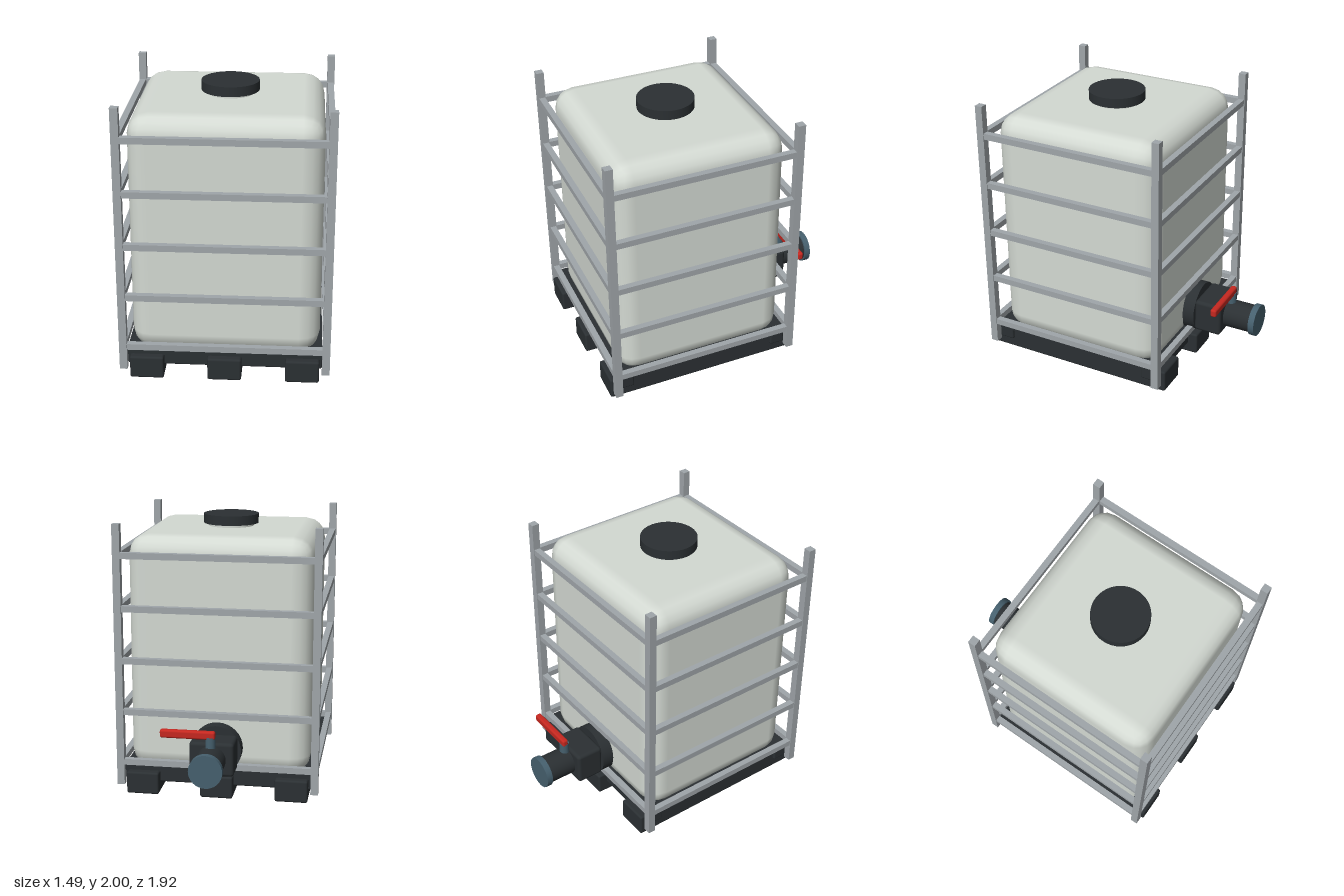
import * as THREE from 'three';
import { RoundedBoxGeometry } from 'three/addons/geometries/RoundedBoxGeometry.js';

const mat = (color) => new THREE.MeshStandardMaterial({ color });

export function createModel() {
  const model = new THREE.Group();
  model.name = 'containerTank';
  const plastic = mat(0xd4dad3), dark = mat(0x2b3033), steel = mat(0xa0a6aa);
  const blue = mat(0x46606e), red = mat(0xc62820);

  const add = (name, geometry, material, x, y, z, parent = model) => {
    const mesh = new THREE.Mesh(geometry, material);
    mesh.name = name;
    mesh.position.set(x, y, z);
    parent.add(mesh);
    return mesh;
  };
  const group = (name) => {
    const g = new THREE.Group();
    g.name = name;
    model.add(g);
    return g;
  };
  const midZ = 0.23; // centre of tank, cage and pallet

  // Tank with neck and lid
  add('tank', new RoundedBoxGeometry(1.34, 1.76, 1.285, 2, 0.15), plastic, 0, 1.03, midZ - 0.003);
  add('neck', new THREE.CylinderGeometry(0.17, 0.17, 0.06, 32), plastic, 0, 1.92, 0.225);
  add('lid', new THREE.CylinderGeometry(0.205, 0.205, 0.07, 40), dark, 0, 1.965, 0.225);

  // Pallet: deck, end beams and three runners
  const pallet = group('pallet');
  add('deck', new THREE.BoxGeometry(1.38, 0.05, 1.36), dark, 0, 0.185, midZ, pallet);
  for (const s of [-1, 1]) {
    add('endBeam', new RoundedBoxGeometry(1.38, 0.11, 0.11, 2, 0.012), dark, 0, 0.133, midZ + s * 0.61, pallet);
  }
  for (const x of [-0.55, 0, 0.55]) {
    add('runner', new RoundedBoxGeometry(0.24, 0.167, 1.47, 2, 0.015), dark, x, 0.0835, midZ - 0.003, pallet);
  }

  // Cage: four corner posts and five rings of rails
  const cage = group('cage');
  const postX = 0.717, postZ = 0.69;
  for (const sx of [-1, 1]) for (const sz of [-1, 1]) {
    add('post', new THREE.BoxGeometry(0.055, 1.94, 0.055), steel, sx * postX, 1.03, midZ + sz * postZ, cage);
  }
  for (let i = 0; i < 5; i++) {
    const y = 0.235 + i * 0.385;
    for (const s of [-1, 1]) {
      add('crossRail', new THREE.BoxGeometry(1.38, 0.045, 0.045), steel, 0, y, midZ + s * postZ, cage);
      add('sideRail', new THREE.BoxGeometry(0.045, 0.045, 1.325), steel, s * postX, y, midZ, cage);
    }
  }

  // Outlet valve at the back
  const valve = group('valve');
  const axisY = 0.37;
  const disc = (name, r, z0, z1, material) => {
    const g = new THREE.CylinderGeometry(r, r, z1 - z0, 32).rotateX(Math.PI / 2);
    add(name, g, material, 0, axisY, (z0 + z1) / 2, valve);
  };
  disc('flange', 0.185, -0.505, -0.4, dark);
  add('valveBody', new RoundedBoxGeometry(0.32, 0.25, 0.21, 3, 0.025), dark, 0, axisY, -0.605, valve);
  disc('outletPipe', 0.105, -0.925, -0.69, dark);
  disc('outletCap', 0.12, -0.96, -0.915, blue);
  add('stem', new THREE.CylinderGeometry(0.036, 0.036, 0.1, 20), blue, 0, 0.5, -0.732, valve);
  add('handle', new RoundedBoxGeometry(0.395, 0.06, 0.046, 3, 0.015), red, 0.163, 0.563, -0.737, valve);

  return model;
}
